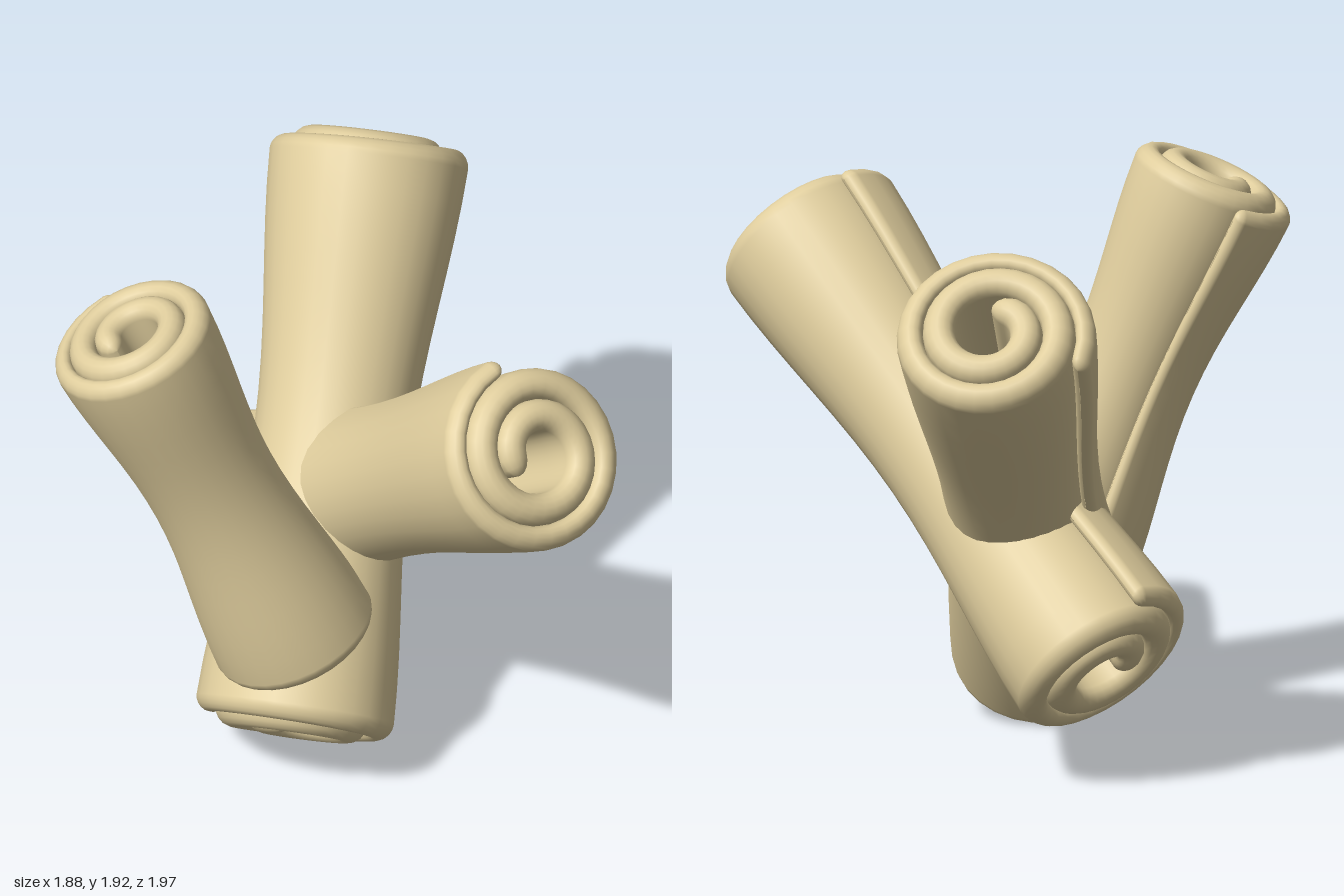
import * as THREE from 'three';

const material = new THREE.MeshStandardMaterial({ color: 0xdfcd9d, side: THREE.DoubleSide });
const TAU = Math.PI * 2;

// A thick sheet rolled into a spiral around y, with rounded edges, domed ends and a pinched waist.
// The loose outer edge lies at local +x.
function rolledSheet(length, radius, pinch) {
  const t = radius * 0.31;                  // sheet thickness
  const turns = 2.32, end = turns * TAU;
  const base = radius - 0.58 * t;           // inner face at the loose edge
  const w0 = 0.12, w1 = 0.9;                // angles over which the sheet ends round off
  const dome = 0.13 * radius;               // how far the rim falls below the middle of an end

  // angles along the sheet, denser at the two rounded ends
  const angles = [];
  for (let k = 0; k < 5; k++) angles.push(w0 * (1 - Math.cos((k / 5) * Math.PI / 2)));
  const steps = 64;
  for (let k = 0; k <= steps; k++) angles.push(w0 + (end - w1 - w0) * k / steps);
  for (let k = 1; k <= 5; k++) angles.push(end - w1 + w1 * Math.sin((k / 5) * Math.PI / 2));

  // section loop: outer face going up, top edge, inner face going down, bottom edge
  const loop = [];
  const rows = 16, arc = 8;
  for (let k = 0; k <= rows; k++) loop.push([1, -1 + 2 * k / rows, 0]);
  for (let k = 1; k < arc; k++) loop.push([Math.cos(k / arc * Math.PI), 1, Math.sin(k / arc * Math.PI)]);
  for (let k = 0; k <= rows; k++) loop.push([-1, 1 - 2 * k / rows, 0]);
  for (let k = 1; k < arc; k++) loop.push([-Math.cos(k / arc * Math.PI), -1, -Math.sin(k / arc * Math.PI)]);

  const positions = [], index = [], n = loop.length;
  angles.forEach((a, i) => {
    const full = t * (0.58 + 0.42 * Math.min(1, a / TAU));
    const e = Math.max(0, 1 - a / w0, 1 - (end - a) / w1);
    const half = full / 2 * Math.sqrt(Math.max(0.0004, 1 - e * e));
    const mid = base - t * a / TAU + full / 2;
    loop.forEach(([side, along, cap], j) => {
      const r0 = mid + side * half * 0.99;
      const y = along * (length / 2 - t / 2 - dome * (r0 / radius) ** 4) + cap * half;
      const r = r0 * (1 - pinch * Math.cos(Math.PI * y / length) ** 2);
      positions.push(r * Math.cos(a), y, -r * Math.sin(a));
      if (i < angles.length - 1) {
        const j2 = (j + 1) % n, p = i * n, q = p + n;
        index.push(p + j, q + j, p + j2, q + j, q + j2, p + j2);
      }
    });
  });

  const g = new THREE.BufferGeometry();
  g.setAttribute('position', new THREE.Float32BufferAttribute(positions, 3));
  g.setIndex(index);
  g.computeVertexNormals();
  return g;
}

// Places a roll between two end centres, with its loose edge towards "seam"
function addRoll(group, name, bottom, top, seam, radius, pinch) {
  const a = new THREE.Vector3(...bottom), b = new THREE.Vector3(...top);
  const Y = b.clone().sub(a);
  const length = Y.length() + 0.05;
  Y.normalize();
  const X = new THREE.Vector3(...seam);
  X.addScaledVector(Y, -X.dot(Y)).normalize();
  const Z = X.clone().cross(Y);
  const mesh = new THREE.Mesh(rolledSheet(length, radius, pinch), material);
  mesh.name = name;
  mesh.quaternion.setFromRotationMatrix(new THREE.Matrix4().makeBasis(X, Y, Z));
  mesh.position.copy(a).add(b).multiplyScalar(0.5);
  group.add(mesh);
}

export function createModel() {
  const group = new THREE.Group();
  group.name = 'rolledSticks';
  addRoll(group, 'shortRoll', [-0.13, 0.53, 0.44], [-0.69, 1.84, 0.55], [-0.32, -0.14, -0.93], 0.308, 0.22);
  addRoll(group, 'backRoll', [-0.14, 0.19, 0.5], [0, 1.7, -0.77], [-0.9, -0.27, -0.32], 0.355, 0.21);
  addRoll(group, 'frontRoll', [-0.37, 0.41, -0.42], [0.7, 1.58, 0.75], [-0.39, 0.82, -0.43], 0.35, 0.21);
  return group;
}
